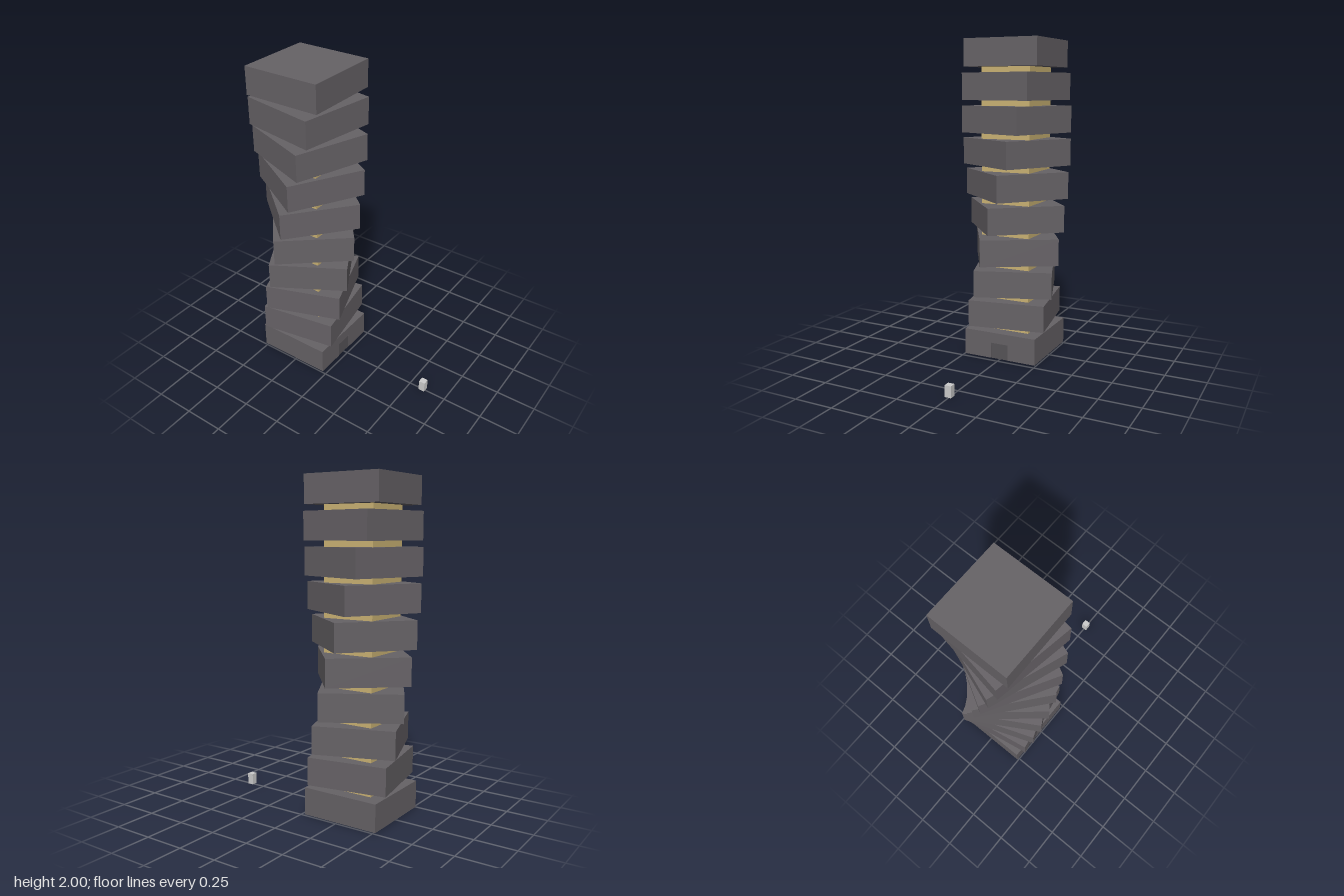
import * as THREE from 'three';

const SIZE = 0.487, HEIGHT = 0.168, PITCH = 0.2031, BASE = 0.004;
const WALL = 0.008, DOOR_W = 0.115, DOOR_H = 0.1;

const paint = (color) => new THREE.MeshStandardMaterial({ color, flatShading: true });

function addBox(parent, name, mat, [w, h, d], [x, y, z]) {
  const mesh = new THREE.Mesh(new THREE.BoxGeometry(w, h, d), mat);
  mesh.name = name;
  mesh.position.set(x, y, z);
  parent.add(mesh);
  return mesh;
}

// Hollow ground floor, open underneath, with a doorway in the front wall
function groundFloor(mat, doorMat) {
  const floor = new THREE.Group();
  floor.name = 'groundFloor';
  const h = SIZE / 2, wallH = HEIGHT - WALL, d = DOOR_W / 2;

  const outline = new THREE.Shape([
    [-h, 0], [-d, 0], [-d, DOOR_H], [d, DOOR_H], [d, 0], [h, 0], [h, wallH], [-h, wallH],
  ].map(([x, y]) => new THREE.Vector2(x, y)));
  const front = new THREE.Mesh(
    new THREE.ExtrudeGeometry(outline, { depth: WALL, bevelEnabled: false }), mat);
  front.name = 'frontWall';
  front.position.z = h - WALL;
  floor.add(front);

  addBox(floor, 'backWall', mat, [SIZE, wallH, WALL], [0, wallH / 2, -h + WALL / 2]);
  for (const side of [-1, 1]) {
    addBox(floor, side > 0 ? 'leftWall' : 'rightWall', mat,
      [WALL, wallH, SIZE - 2 * WALL], [side * (h - WALL / 2), wallH / 2, 0]);
  }
  addBox(floor, 'ceiling', mat, [SIZE, WALL, SIZE], [0, HEIGHT - WALL / 2, 0]);
  addBox(floor, 'door', doorMat, [DOOR_W, DOOR_H, WALL / 2], [0, DOOR_H / 2, h - WALL / 2]);
  return floor;
}

export function createModel() {
  const model = new THREE.Group();
  model.name = 'twistedTower';
  const slabMat = paint(0x666266), doorMat = paint(0x565357);
  const coreMat = paint(0xcbb374), postMat = paint(0xcccccc);

  const tower = new THREE.Group();
  tower.name = 'tower';
  tower.position.z = -0.27;
  model.add(tower);

  // Straight square core running through every floor
  const coreTop = BASE + 9 * PITCH + 0.05;
  addBox(tower, 'core', coreMat, [0.325, coreTop, 0.325], [0, coreTop / 2, 0]);

  // Ten floors turning a quarter circle from bottom to top
  const ground = groundFloor(slabMat, doorMat);
  ground.position.y = BASE;
  tower.add(ground);
  for (let i = 1; i < 10; i++) {
    const floor = addBox(tower, `floor${i}`, slabMat,
      [SIZE, HEIGHT, SIZE], [0, BASE + i * PITCH + HEIGHT / 2, 0]);
    floor.rotation.y = THREE.MathUtils.degToRad(10 * i);
  }

  // Small free-standing post in front of the door
  addBox(model, 'post', postMat, [0.04, 0.07, 0.04], [0, 0.039, 0.594]);
  return model;
}
